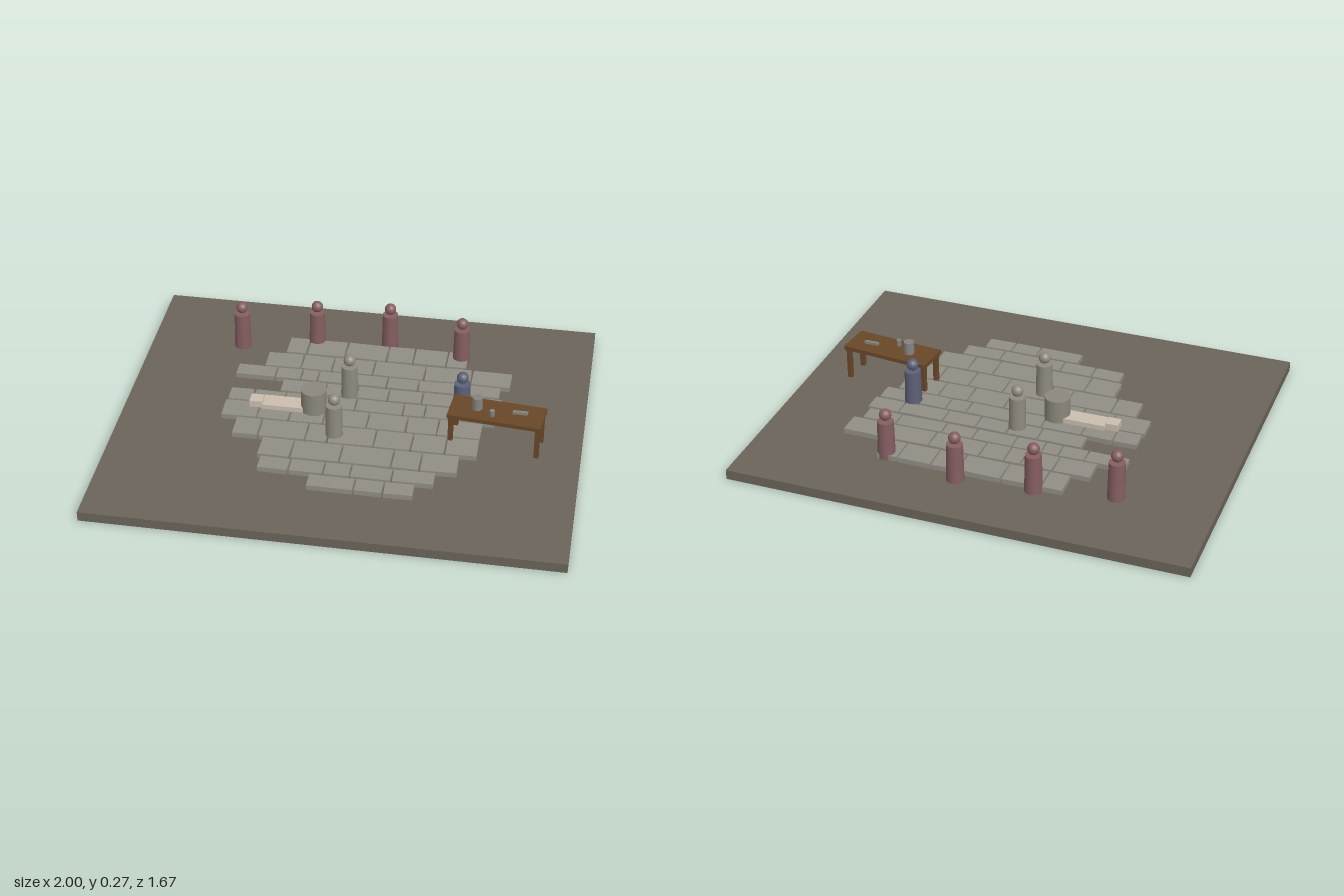
import * as THREE from 'three';

const mat = (name, color) => {
  const m = new THREE.MeshStandardMaterial({ color });
  m.name = name;
  return m;
};

export function createModel() {
  const root = new THREE.Group();
  root.name = 'pavedCourtyard';
  const earth = mat('earth', 0x6b6459);
  const stone = mat('pavingStone', 0x918d84);
  const plinthStone = mat('plinthStone', 0x8b877b);
  const rose = mat('roseCloth', 0x855e60);
  const grey = mat('greyCloth', 0x8e8a7e);
  const blue = mat('blueCloth', 0x5c6176);
  const wood = mat('wood', 0x694728);
  const pale = mat('paleStone', 0xc9bdae);
  const metal = mat('metal', 0x85837f);

  const GROUND = 0.043, PAVE = 0.066;

  const add = (parent, name, geo, material, x, y, z) => {
    const mesh = new THREE.Mesh(geo, material);
    mesh.name = name;
    mesh.position.set(x, y, z);
    parent.add(mesh);
    return mesh;
  };
  // box given by its bottom height
  const box = (parent, name, material, w, h, d, x, y, z) =>
    add(parent, name, new THREE.BoxGeometry(w, h, d), material, x, y + h / 2, z);
  const drum = (parent, name, material, rTop, rBottom, h, sides, x, y, z) =>
    add(parent, name, new THREE.CylinderGeometry(rTop, rBottom, h, sides), material, x, y + h / 2, z);

  box(root, 'ground', earth, 2, GROUND, 1.666, 0, 0, 0);

  // Paving: each row is [near z, far z, joints along x]
  const rows = [
    [-0.535, -0.417, [-0.375, -0.28, -0.105, 0.085, 0.205, 0.355, 0.45]],
    [-0.405, -0.298, [-0.45, -0.285, -0.145, -0.07, 0.04, 0.27, 0.48, 0.66]],
    [-0.29, -0.213, [-0.565, -0.385, -0.27, -0.195, -0.065, 0.115, 0.255, 0.465, 0.62]],
    [-0.2, -0.115, [-0.345, -0.145, -0.005, 0.135, 0.285, 0.49, 0.635]],
    [-0.105, -0.02, [-0.56, -0.45, -0.31, -0.13, 0.005, 0.215, 0.31, 0.45, 0.62]],
    [-0.012, 0.1, [-0.565, -0.405, -0.265, -0.115, 0.075, 0.245, 0.38, 0.57]],
    [0.108, 0.226, [-0.49, -0.375, -0.17, -0.075, 0.125, 0.285, 0.43, 0.57]],
    [0.235, 0.355, [-0.352, -0.21, 0, 0.22, 0.34, 0.5]],
    [0.366, 0.446, [-0.335, -0.2, -0.053, 0.06, 0.235, 0.415]],
    [0.457, 0.535, [-0.11, 0.09, 0.212, 0.34]],
  ];
  const paving = new THREE.Group();
  paving.name = 'paving';
  root.add(paving);
  let n = 0;
  for (const [z0, z1, joints] of rows) {
    for (let i = 0; i + 1 < joints.length; i++) {
      const w = joints[i + 1] - joints[i] - 0.008;
      const s = box(paving, 'pavingStone', stone, w, PAVE - GROUND, z1 - z0 - 0.002,
        (joints[i] + joints[i + 1]) / 2, GROUND, (z0 + z1) / 2);
      s.rotation.y = 0.025 * Math.sin(n++ * 2.4); // slightly uneven laying
    }
  }

  // Standing figures: tapered body and round head
  const figure = (name, material, x, z) => {
    const g = new THREE.Group();
    g.name = name;
    g.position.set(x, GROUND, z);
    drum(g, 'body', material, 0.035, 0.038, 0.174, 16, 0, 0, 0);
    add(g, 'head', new THREE.SphereGeometry(0.026, 16, 12), material, 0, 0.203, 0);
    root.add(g);
  };
  for (const [x, z] of [[-0.585, -0.473], [-0.25, -0.537], [0.08, -0.57], [0.415, -0.503]])
    figure('roseFigure', rose, x, z);
  for (const [x, z] of [[-0.035, -0.136], [-0.052, 0.163]]) figure('greyFigure', grey, x, z);
  figure('blueFigure', blue, 0.466, -0.086);

  // Round plinth with a pale slab lying against it
  drum(root, 'plinth', plinthStone, 0.056, 0.056, 0.171 - GROUND, 24, -0.17, GROUND, -0.003);
  box(root, 'slab', pale, 0.2, 0.024, 0.077, -0.295, 0.064, -0.004);
  box(root, 'slabEnd', pale, 0.057, 0.032, 0.056, -0.422, 0.064, -0.002);

  // Table, turned a little
  const table = new THREE.Group();
  table.name = 'table';
  table.position.set(0.633, 0, 0.08);
  table.rotation.y = -0.095;
  root.add(table);
  box(table, 'tableTop', wood, 0.403, 0.018, 0.153, 0, 0.187, 0);
  for (const sx of [-1, 1])
    for (const sz of [-1, 1])
      box(table, 'tableLeg', wood, 0.02, 0.187 - GROUND, 0.02, sx * 0.186, GROUND, sz * 0.057);

  // Things on the table
  drum(root, 'jug', metal, 0.023, 0.024, 0.057, 10, 0.547, 0.204, 0.067);
  drum(root, 'cup', metal, 0.012, 0.011, 0.028, 8, 0.615, 0.204, 0.112);
  box(root, 'bar', metal, 0.065, 0.013, 0.014, 0.732, 0.204, 0.081);
  return root;
}
